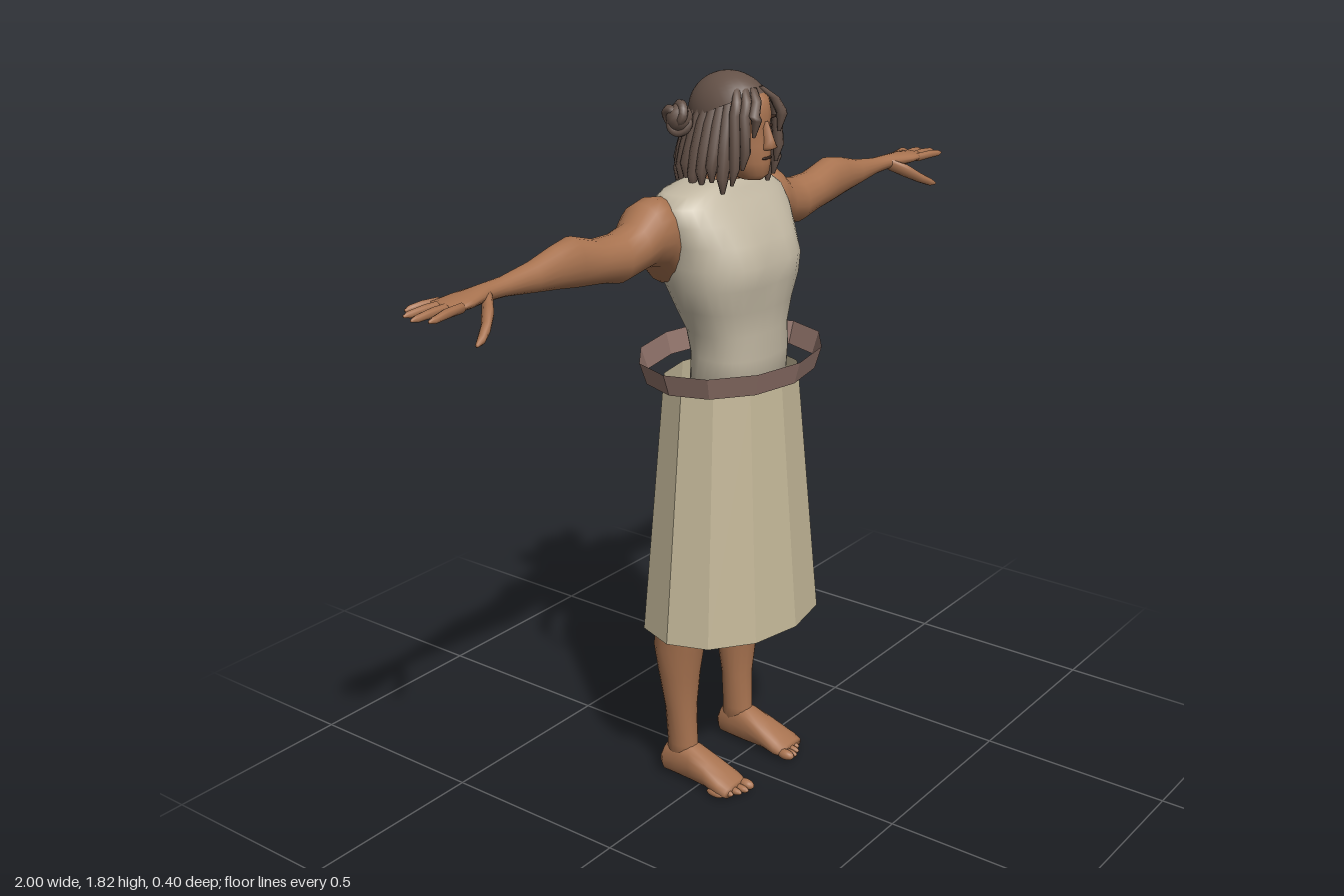
import * as THREE from 'three';

const mat = (name, color, extra = {}) => Object.assign(new THREE.MeshStandardMaterial({ color, ...extra }), { name });

// Closed tube along an axis. Rows are [t, uMin, uMax, vMin, vMax] with t rising;
// (u, v) is (z, x) for axis y, (y, z) for axis x and (x, y) for axis z.
function loft(axis, rows, sides = 14, power = 1) {
  const place = {
    x: (t, u, v) => [t, u, v],
    y: (t, u, v) => [v, t, u],
    z: (t, u, v) => [u, v, t],
  }[axis];
  const pos = [], idx = [];
  const bend = c => Math.sign(c) * Math.abs(c) ** power;
  for (const [t, u0, u1, v0, v1] of rows) {
    for (let j = 0; j < sides; j++) {
      const a = j / sides * Math.PI * 2;
      pos.push(...place(t, (u0 + u1) / 2 + (u1 - u0) / 2 * bend(Math.cos(a)),
        (v0 + v1) / 2 + (v1 - v0) / 2 * bend(Math.sin(a))));
    }
  }
  const n = rows.length, at = (i, j) => i * sides + j % sides;
  for (let i = 0; i < n - 1; i++) for (let j = 0; j < sides; j++) {
    idx.push(at(i, j), at(i, j + 1), at(i + 1, j + 1), at(i, j), at(i + 1, j + 1), at(i + 1, j));
  }
  for (const end of [0, n - 1]) {
    const [t, u0, u1, v0, v1] = rows[end], c = pos.length / 3;
    pos.push(...place(t, (u0 + u1) / 2, (v0 + v1) / 2));
    for (let j = 0; j < sides; j++) {
      idx.push(...(end ? [c, at(end, j), at(end, j + 1)] : [c, at(0, j + 1), at(0, j)]));
    }
  }
  const g = new THREE.BufferGeometry();
  g.setAttribute('position', new THREE.Float32BufferAttribute(pos, 3));
  g.setIndex(idx);
  g.computeVertexNormals();
  return g;
}

// Round strand through rows of [t, u, v, radius]
const strand = (axis, rows, sides = 7) =>
  loft(axis, rows.map(([t, u, v, r]) => [t, u - r, u + r, v - r, v + r]), sides);

const ball = (x, y, z, rx, ry, rz) => new THREE.SphereGeometry(1, 14, 10).scale(rx, ry, rz).translate(x, y, z);

function mirrored(geometry) {
  const g = geometry.clone().scale(-1, 1, 1), index = g.index.array;
  for (let i = 0; i < index.length; i += 3) [index[i], index[i + 1]] = [index[i + 1], index[i]];
  return g;
}

export function createModel() {
  const skin = mat('skin', 0xa87350);
  const tunicCloth = mat('tunic cloth', 0xc2b8a3, { side: THREE.DoubleSide });
  const skirtCloth = mat('skirt cloth', 0xc3b798, { side: THREE.DoubleSide, flatShading: true });
  const leather = mat('belt leather', 0x8f7269, { side: THREE.DoubleSide, flatShading: true });
  const hair = mat('hair', 0x655248, { side: THREE.DoubleSide });
  const dark = mat('dark features', 0x35241c);

  const model = new THREE.Group();
  const add = (name, geometry, material) => {
    const m = new THREE.Mesh(geometry, material);
    m.name = name;
    model.add(m);
  };
  const pair = (name, geometry, material) => {
    add('left ' + name, geometry, material);
    add('right ' + name, mirrored(geometry), material);
  };

  // Tunic, with a swelling over each side of the chest
  const tunic = loft('y', [
    [1.03, -0.08, 0.115, -0.13, 0.13], [1.16, -0.075, 0.125, -0.13, 0.13], [1.22, -0.085, 0.12, -0.137, 0.137],
    [1.28, -0.11, 0.125, -0.16, 0.16], [1.34, -0.13, 0.132, -0.185, 0.185], [1.39, -0.14, 0.13, -0.188, 0.188],
    [1.44, -0.145, 0.113, -0.195, 0.195], [1.49, -0.147, 0.09, -0.207, 0.207], [1.53, -0.142, 0.06, -0.205, 0.205],
    [1.555, -0.125, 0.04, -0.17, 0.17], [1.575, -0.1, 0.03, -0.095, 0.095],
  ], 32, 0.85);
  const p = tunic.attributes.position;
  for (let i = 0; i < p.count; i++) {
    const x = p.getX(i), y = p.getY(i), z = p.getZ(i);
    const swell = Math.exp(-(((Math.abs(x) - 0.085) / 0.06) ** 2) - ((y - 1.4) / 0.06) ** 2);
    if (z > 0) p.setZ(i, z + 0.014 * swell);
  }
  tunic.computeVertexNormals();
  add('tunic', tunic, tunicCloth);

  // Skirt and loose belt, twelve-sided open bands
  add('skirt', new THREE.CylinderGeometry(0.2, 0.267, 0.63, 12, 1, true).scale(1, 1, 0.75).translate(0, 0.775, 0), skirtCloth);
  add('belt', new THREE.CylinderGeometry(0.265, 0.245, 0.055, 12, 1, true).scale(1, 1, 0.76).translate(0, 1.128, 0), leather);

  // Arms
  pair('arm', loft('x', [
    [0.14, 1.36, 1.53, -0.142, -0.02], [0.175, 1.345, 1.55, -0.147, 0], [0.21, 1.39, 1.556, -0.145, 0.005],
    [0.25, 1.4, 1.548, -0.138, 0], [0.29, 1.395, 1.512, -0.125, -0.008], [0.35, 1.385, 1.5, -0.12, -0.01],
    [0.42, 1.4, 1.502, -0.113, -0.015], [0.5, 1.41, 1.526, -0.105, -0.018], [0.56, 1.42, 1.516, -0.095, -0.025],
    [0.63, 1.43, 1.498, -0.09, -0.03], [0.72, 1.443, 1.486, -0.08, -0.038], [0.78, 1.446, 1.484, -0.082, -0.035],
    [0.85, 1.45, 1.482, -0.09, -0.012], [0.905, 1.454, 1.476, -0.096, -0.008],
  ], 18), skin);

  // Four fingers, each [base z, tip z, tip x], and the drooping thumb
  [[-0.019, -0.006, 0.985], [-0.041, -0.04, 1.0], [-0.063, -0.073, 0.988], [-0.085, -0.1, 0.958]].forEach(([z0, z1, x], i) =>
    pair('finger ' + (i + 1), strand('x', [
      [0.88, 1.465, z0, 0.011], [(0.88 + x) / 2, 1.466, (z0 + z1) / 2, 0.0105],
      [x - 0.015, 1.464, z1, 0.008], [x, 1.463, z1, 0.003],
    ]), skin));
  pair('thumb', strand('x', [
    [0.78, 1.46, -0.045, 0.016], [0.815, 1.44, -0.012, 0.018], [0.845, 1.42, 0.01, 0.014],
    [0.875, 1.405, 0.025, 0.011], [0.895, 1.398, 0.031, 0.004],
  ], 9), skin);

  // Legs
  pair('leg', loft('y', [
    [0.05, -0.115, -0.02, 0.088, 0.155], [0.1, -0.11, -0.025, 0.086, 0.154], [0.2, -0.112, -0.03, 0.08, 0.163],
    [0.3, -0.127, -0.02, 0.07, 0.177], [0.38, -0.14, -0.005, 0.065, 0.185], [0.46, -0.135, 0.015, 0.06, 0.185],
    [0.56, -0.12, 0.03, 0.05, 0.187], [0.75, -0.12, 0.06, 0.02, 0.185], [0.95, -0.11, 0.07, 0.004, 0.165],
    [1.06, -0.07, 0.08, 0.01, 0.12],
  ], 18), skin);

  // Feet and toes
  pair('foot', loft('z', [
    [-0.125, 0.105, 0.143, 0.02, 0.055], [-0.11, 0.09, 0.156, 0.003, 0.085], [-0.07, 0.086, 0.157, 0, 0.105],
    [-0.025, 0.083, 0.16, 0, 0.1], [0.03, 0.079, 0.168, 0.005, 0.075], [0.08, 0.074, 0.176, 0, 0.05],
    [0.105, 0.08, 0.172, 0.002, 0.036],
  ], 16, 0.85), skin);
  for (let i = 0; i < 5; i++) {
    const r = i ? 0.01 : 0.014;
    pair('toe ' + (i + 1), ball(0.09 + i * 0.0195, 0.004 + r, 0.112 - i * i * 0.0025, r, r, 0.026), skin);
  }

  // Neck, head and face
  add('neck', loft('y', [
    [1.5, -0.1, 0.03, -0.07, 0.07], [1.57, -0.085, 0.03, -0.056, 0.056], [1.65, -0.075, 0.03, -0.05, 0.05],
  ], 16), skin);
  add('head', loft('y', [
    [1.578, 0.025, 0.085, -0.02, 0.02], [1.592, -0.02, 0.102, -0.038, 0.038], [1.62, -0.06, 0.105, -0.053, 0.053],
    [1.66, -0.085, 0.104, -0.062, 0.062], [1.7, -0.095, 0.098, -0.067, 0.067], [1.73, -0.098, 0.104, -0.068, 0.068],
    [1.765, -0.09, 0.096, -0.066, 0.066], [1.79, -0.07, 0.072, -0.052, 0.052], [1.808, -0.03, 0.03, -0.02, 0.02],
  ], 20), skin);
  add('nose', loft('y', [
    [1.65, 0.085, 0.112, -0.012, 0.012], [1.658, 0.085, 0.13, -0.015, 0.015], [1.675, 0.085, 0.122, -0.01, 0.01],
    [1.715, 0.08, 0.104, -0.007, 0.007],
  ], 8), skin);
  pair('eye', ball(0.027, 1.7, 0.089, 0.012, 0.005, 0.004), dark);
  pair('eyebrow', ball(0.029, 1.721, 0.094, 0.017, 0.004, 0.004), dark);
  add('mouth', ball(0, 1.631, 0.102, 0.019, 0.004, 0.004), dark);

  // Hair cap, tilted back to leave the forehead clear
  add('hair cap', new THREE.SphereGeometry(1, 28, 12, 0, Math.PI * 2, 0, 1.45)
    .rotateX(-0.45).scale(0.08, 0.095, 0.106).translate(0, 1.726, -0.004), hair);

  // Long locks around the sides and back
  const locks = 19;
  for (let i = 0; i < locks; i++) {
    const a = (0.36 + 1.28 * i / (locks - 1)) * Math.PI, s = Math.sin(a), c = Math.cos(a);
    const low = 1.555 + 0.012 * (i % 3), r = 0.017;
    add('hair lock ' + (i + 1), strand('y', [
      [low, 0.125 * c - 0.012, 0.098 * s, 0.005], [low + 0.035, 0.122 * c - 0.01, 0.1 * s, r * 0.85],
      [1.65, 0.112 * c - 0.008, 0.089 * s, r], [1.71, 0.098 * c - 0.004, 0.075 * s, r],
      [1.775, 0.07 * c, 0.052 * s, 0.012],
    ]), hair);
  }

  // Parted fringe falling beside the face
  [[0.05, 1.685, 0.1], [0.066, 1.61, 0.08], [0.082, 1.575, 0.062]].forEach(([x, y, z], i) =>
    pair('fringe lock ' + (i + 1), strand('y', [
      [y, z, x, 0.004], [y + 0.04, z + 0.008, x, 0.013], [1.735, 0.102 - i * 0.02, 0.052 + i * 0.009, 0.014],
      [1.765, 0.096 - i * 0.018, 0.034 + i * 0.013, 0.012], [1.79, 0.072 - i * 0.014, 0.014 + i * 0.012, 0.008],
    ]), hair));

  // Coiled side buns
  pair('bun core', ball(0.105, 1.72, -0.07, 0.031, 0.034, 0.031), hair);
  pair('bun coil', new THREE.TorusKnotGeometry(0.02, 0.011, 72, 7, 2, 3)
    .rotateY(Math.PI / 2).scale(1.1, 1.1, 1).translate(0.11, 1.72, -0.072), hair);

  return model;
}
